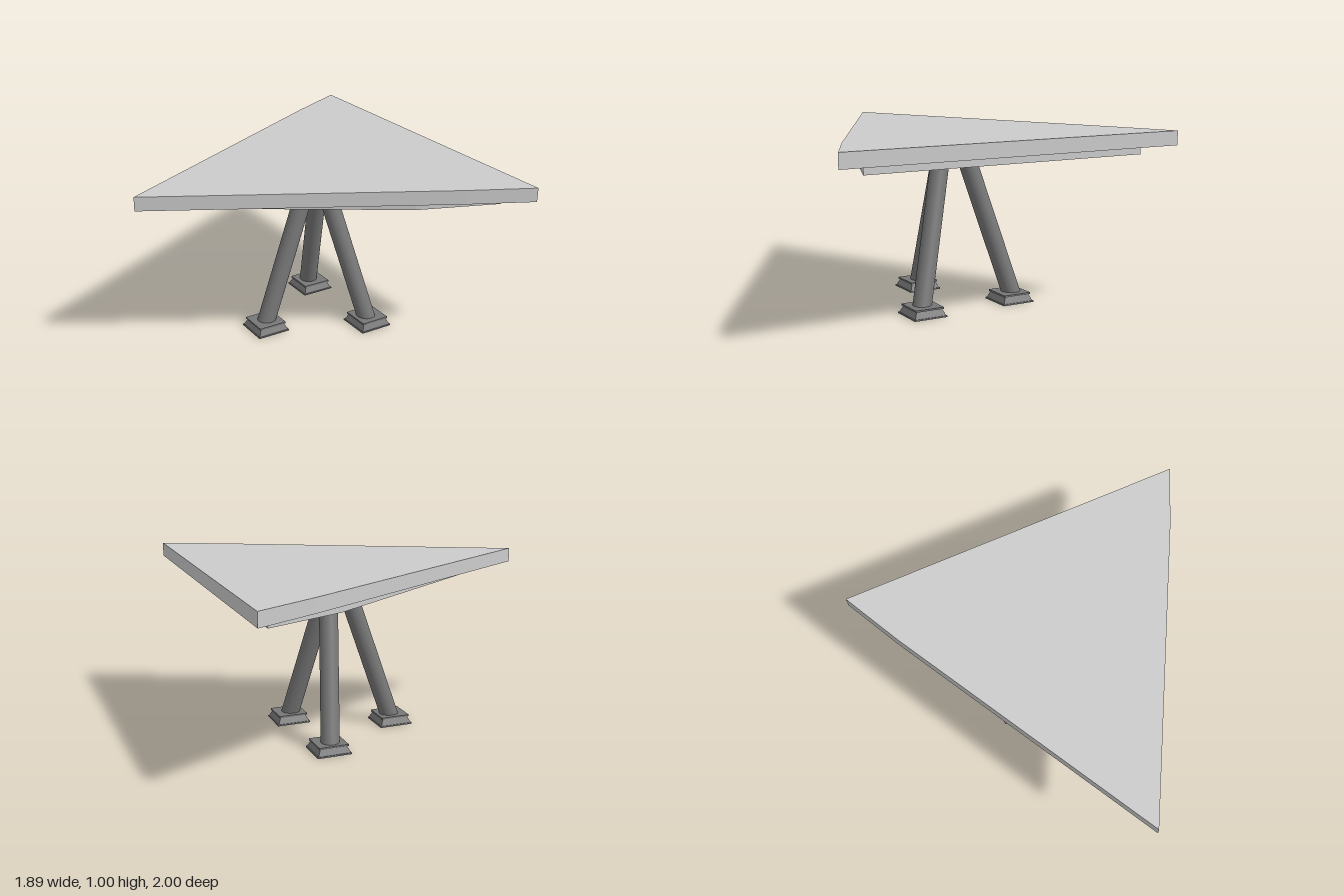
import * as THREE from 'three';

const lightMat = new THREE.MeshStandardMaterial({ color: 0xcccccc });
const legMat = new THREE.MeshStandardMaterial({ color: 0x777777 });
const footMat = new THREE.MeshStandardMaterial({ color: 0x777777, flatShading: true });

// Horizontal slab, symmetric in z, from half an outline of [x, z] points
function slab(name, half, yTop, thickness) {
  const mirrored = half.slice(1).reverse().map(([x, z]) => [x, -z]);
  const shape = new THREE.Shape([...half, ...mirrored].map(([x, z]) => new THREE.Vector2(x, z)));
  const geo = new THREE.ExtrudeGeometry(shape, { depth: thickness, bevelEnabled: false });
  geo.rotateX(Math.PI / 2);
  const mesh = new THREE.Mesh(geo, lightMat);
  mesh.name = name;
  mesh.position.y = yTop;
  return mesh;
}

// Round bar between two points
function bar(name, from, to, radius) {
  const dir = to.clone().sub(from);
  const mesh = new THREE.Mesh(new THREE.CylinderGeometry(radius, radius, dir.length(), 32), legMat);
  mesh.name = name;
  mesh.position.copy(from).add(to).multiplyScalar(0.5);
  mesh.quaternion.setFromUnitVectors(new THREE.Vector3(0, 1, 0), dir.normalize());
  return mesh;
}

// Square foot: thin base, sloping skirt and a small lip on top
function foot(name, x, z) {
  const group = new THREE.Group();
  group.name = name;
  const layers = [
    ['footBase', 0.2, 0.2, 0, 0.008],
    ['footSkirt', 0.19, 0.155, 0.008, 0.045],
    ['footLip', 0.172, 0.172, 0.045, 0.055],
  ];
  for (const [part, bottom, top, y0, y1] of layers) {
    const geo = new THREE.CylinderGeometry(top * Math.SQRT1_2, bottom * Math.SQRT1_2, y1 - y0, 4);
    geo.rotateY(Math.PI / 4);
    const mesh = new THREE.Mesh(geo, footMat);
    mesh.name = part;
    mesh.position.y = (y0 + y1) / 2;
    group.add(mesh);
  }
  group.position.set(x, 0, z);
  return group;
}

export function createModel() {
  const model = new THREE.Group();
  model.name = 'triangularTable';

  // Table top and the smaller plate beneath it
  model.add(slab('tableTop', [[-0.945, 0], [0.6, -0.83], [0.945, -1]], 1, 0.08));
  model.add(slab('underPlate', [[-0.645, 0], [0.4, -0.66], [0.845, -0.83]], 0.92, 0.05));

  // Three splayed legs: foot centre, leg centre at the floor end, leg centre under the plate
  const legs = [
    ['right', [-0.165, 0.01], [-0.155, 0.005], [0.125, 0.005]],
    ['front', [0.385, 0.27], [0.375, 0.267], [0.2, 0.052]],
    ['back', [0.35, -0.315], [0.345, -0.325], [0.25, -0.065]],
  ];
  for (const [side, f, low, high] of legs) {
    const a = new THREE.Vector3(low[0], 0.055, low[1]);
    const b = new THREE.Vector3(high[0], 0.87, high[1]);
    // Run both ends slightly into the foot and the plate
    const from = a.clone().lerp(b, -0.025);
    const to = a.clone().lerp(b, 1.03);
    model.add(bar(side + 'Leg', from, to, 0.053), foot(side + 'Foot', f[0], f[1]));
  }
  return model;
}
